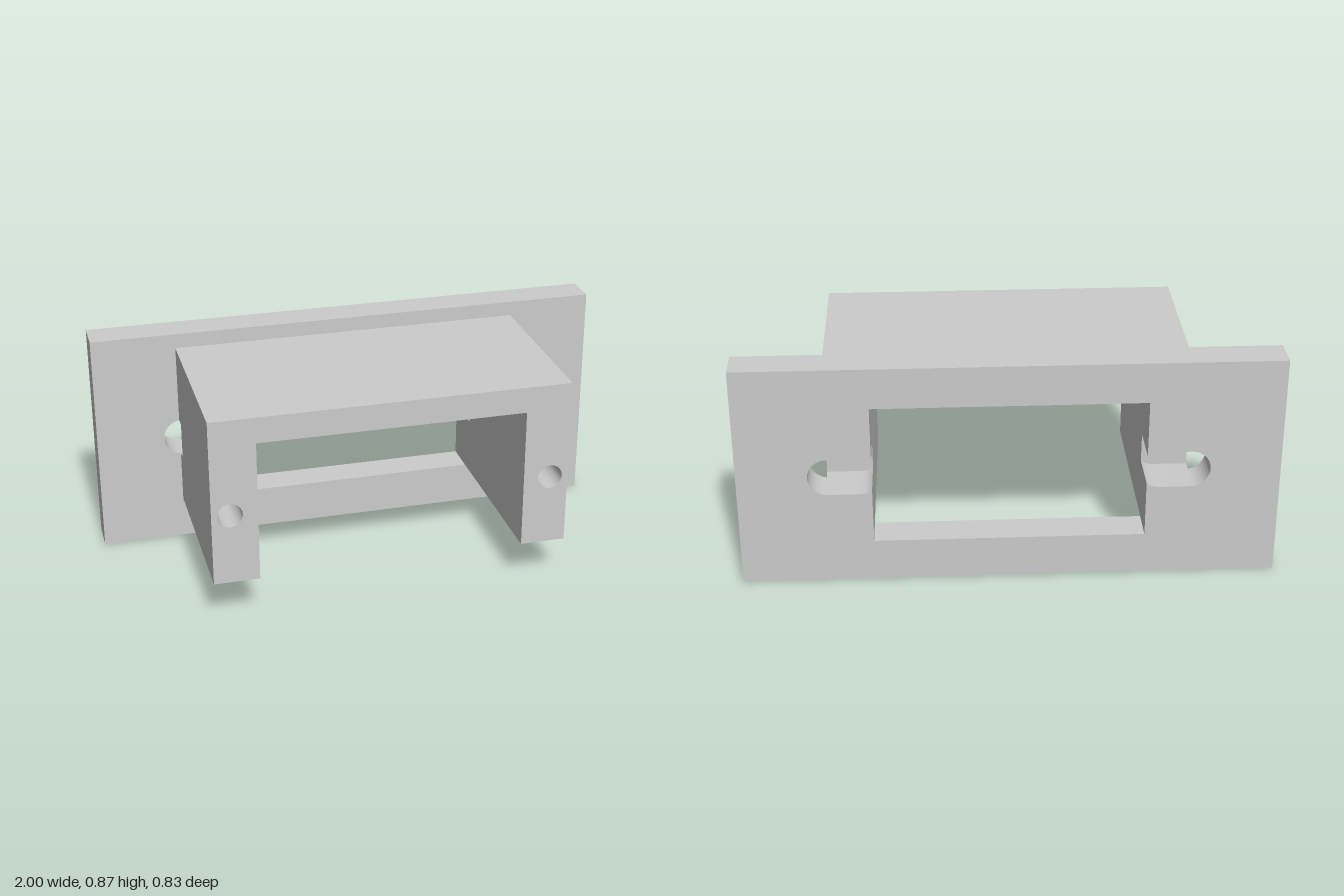
import * as THREE from 'three';
import { toCreasedNormals } from 'three/addons/utils/BufferGeometryUtils.js';

const W = 0.505, OUT = 0.677;               // inner and outer half width of the housing
const BOTTOM = 0.163, CEIL = 0.713, TOP = 0.813;
const BACK = -0.413, PLATE = -0.282, SLOT = -0.238, FRONT = 0.413;
const MID = 0.437;                          // height of slots and screw holes
const R = 0.0725, C0 = 0.55, C1 = 0.667;    // slot radius and its two arc centres
const HOLE_X = 0.608, HOLE_R = 0.047, HOLE_DEPTH = 0.4;

const material = new THREE.MeshStandardMaterial({ color: 0xcccccc });
const V = (x, y) => new THREE.Vector2(x, y);
const mirrorX = pts => pts.map(p => V(-p.x, p.y)).reverse();
const mirrorY = pts => pts.map(p => V(p.x, 2 * MID - p.y)).reverse();

// Upper slot edge, from the inner wall outwards to the given end angle
function slotEdge(endAngle) {
  const pts = [], n = 16;
  const arc = (cx, a, b) => {
    for (let i = 0; i <= n; i++) {
      const t = a + (b - a) * i / n;
      pts.push(V(cx + R * Math.cos(t), MID + R * Math.sin(t)));
    }
  };
  arc(C0, Math.acos((W - C0) / R), Math.PI / 2);
  arc(C1, Math.PI / 2, endAngle);
  return pts;
}

function slab(name, shapes, z0, z1) {
  const geo = new THREE.ExtrudeGeometry(shapes, { depth: z1 - z0, bevelEnabled: false, curveSegments: 24 });
  geo.translate(0, 0, z0);
  const mesh = new THREE.Mesh(toCreasedNormals(geo, 0.5), material);
  mesh.name = name;
  return mesh;
}

// Downward-open channel section
const channel = () => new THREE.Shape([
  V(-OUT, BOTTOM), V(-W, BOTTOM), V(-W, CEIL), V(W, CEIL),
  V(W, BOTTOM), V(OUT, BOTTOM), V(OUT, TOP), V(-OUT, TOP),
]);

export function createModel() {
  const group = new THREE.Group();
  group.name = 'mountingBracket';

  // Flange plate: window with a rounded slot on each side
  const plate = new THREE.Shape([V(-1, 0), V(1, 0), V(1, 0.87), V(-1, 0.87)]);
  const upper = slotEdge(0);
  const rightSide = [V(W, CEIL), ...upper, ...mirrorY(upper).slice(1), V(W, BOTTOM)];
  plate.holes.push(new THREE.Path([...rightSide, ...mirrorX(rightSide)]));
  group.add(slab('flangePlate', plate, BACK, PLATE));

  // Housing root: the slots cut right through both walls
  const edge = slotEdge(Math.acos((OUT - C1) / R));
  const roof = new THREE.Shape([
    ...mirrorX(edge), V(-W, CEIL), V(W, CEIL), ...edge, V(OUT, TOP), V(-OUT, TOP),
  ]);
  const foot = [V(W, BOTTOM), V(OUT, BOTTOM), ...mirrorY(edge)];
  group.add(slab('housingRoot', [roof, new THREE.Shape(foot), new THREE.Shape(mirrorX(foot))], PLATE, SLOT));

  // Housing body, then its front section with blind screw holes
  group.add(slab('housingBody', channel(), SLOT, FRONT - HOLE_DEPTH));
  const front = channel();
  for (const s of [-1, 1]) {
    front.holes.push(new THREE.Path().absarc(s * HOLE_X, MID, HOLE_R, 0, Math.PI * 2, true));
  }
  group.add(slab('housingFront', front, FRONT - HOLE_DEPTH, FRONT));

  return group;
}
